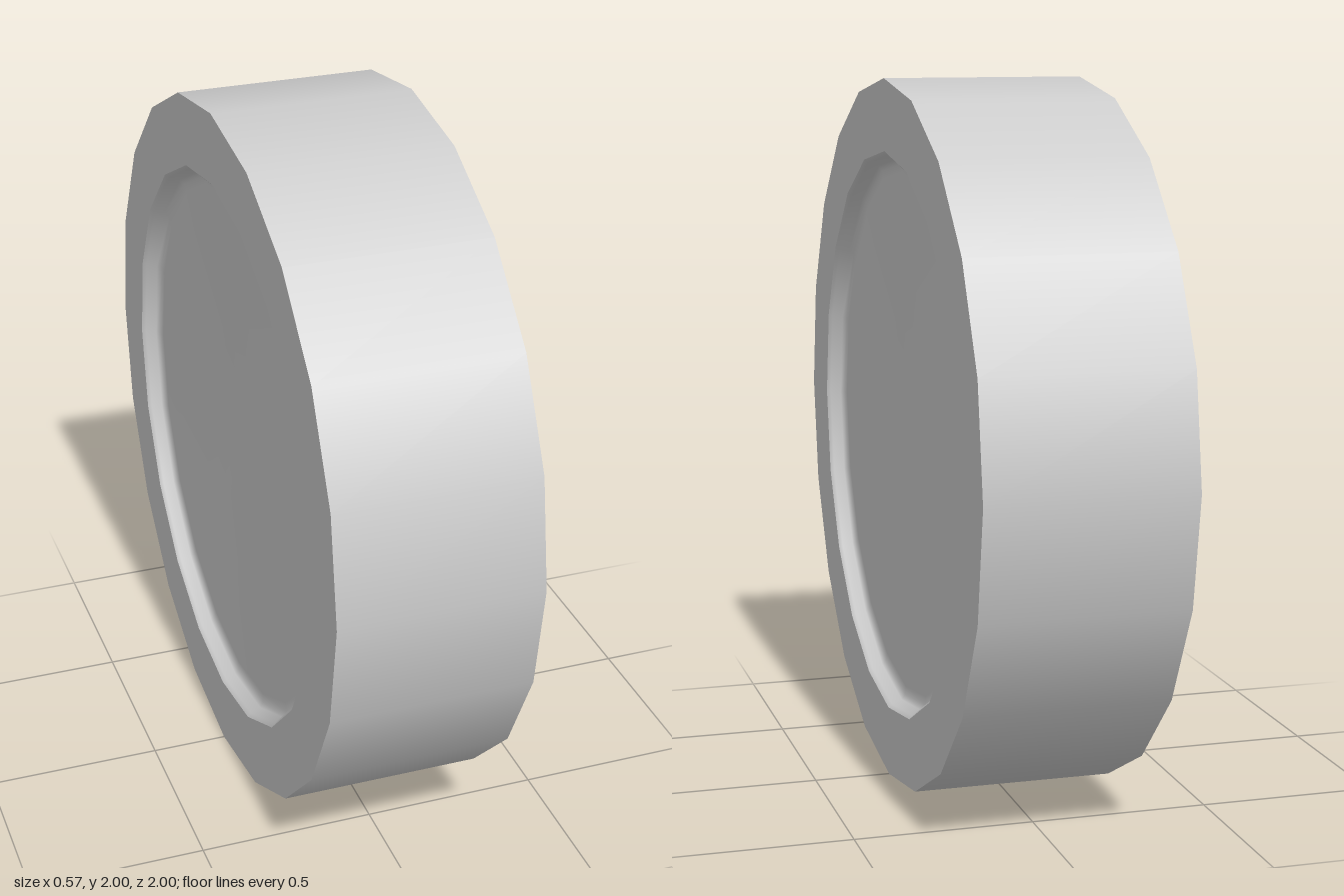
import * as THREE from 'three';

const SIDES = 20;
const HALF = 0.283; // half the width along the axle

export function createModel() {
  const model = new THREE.Group();
  model.name = 'wheel';
  const material = new THREE.MeshStandardMaterial({ color: 0xcccccc });

  // Turn a profile of [radius, distance along axle] around the x axis
  const turned = (name, profile) => {
    const points = profile.map(([r, d]) => new THREE.Vector2(r, d));
    const geometry = new THREE.LatheGeometry(points, SIDES);
    geometry.rotateZ(-Math.PI / 2);
    const mesh = new THREE.Mesh(geometry, material);
    mesh.name = name;
    return mesh;
  };

  // Outer band
  const tread = turned('tread', [[1, -HALF], [1, HALF]]);
  tread.position.y = 1;
  model.add(tread);

  // Flat rim and shallow rounded recess on each side
  for (const side of ['left', 'right']) {
    const face = new THREE.Group();
    face.name = side + 'Face';
    face.add(
      turned('rim', [[1, HALF], [0.8, HALF]]),
      turned('recess', [
        [0.8, HALF],
        [0.79, HALF - 0.01],
        [0.78, HALF - 0.04],
        [0.765, HALF - 0.05],
        [0.74, HALF - 0.052],
        [0, HALF - 0.056],
      ]),
    );
    face.position.y = 1;
    if (side === 'right') face.rotation.y = Math.PI;
    model.add(face);
  }
  return model;
}
